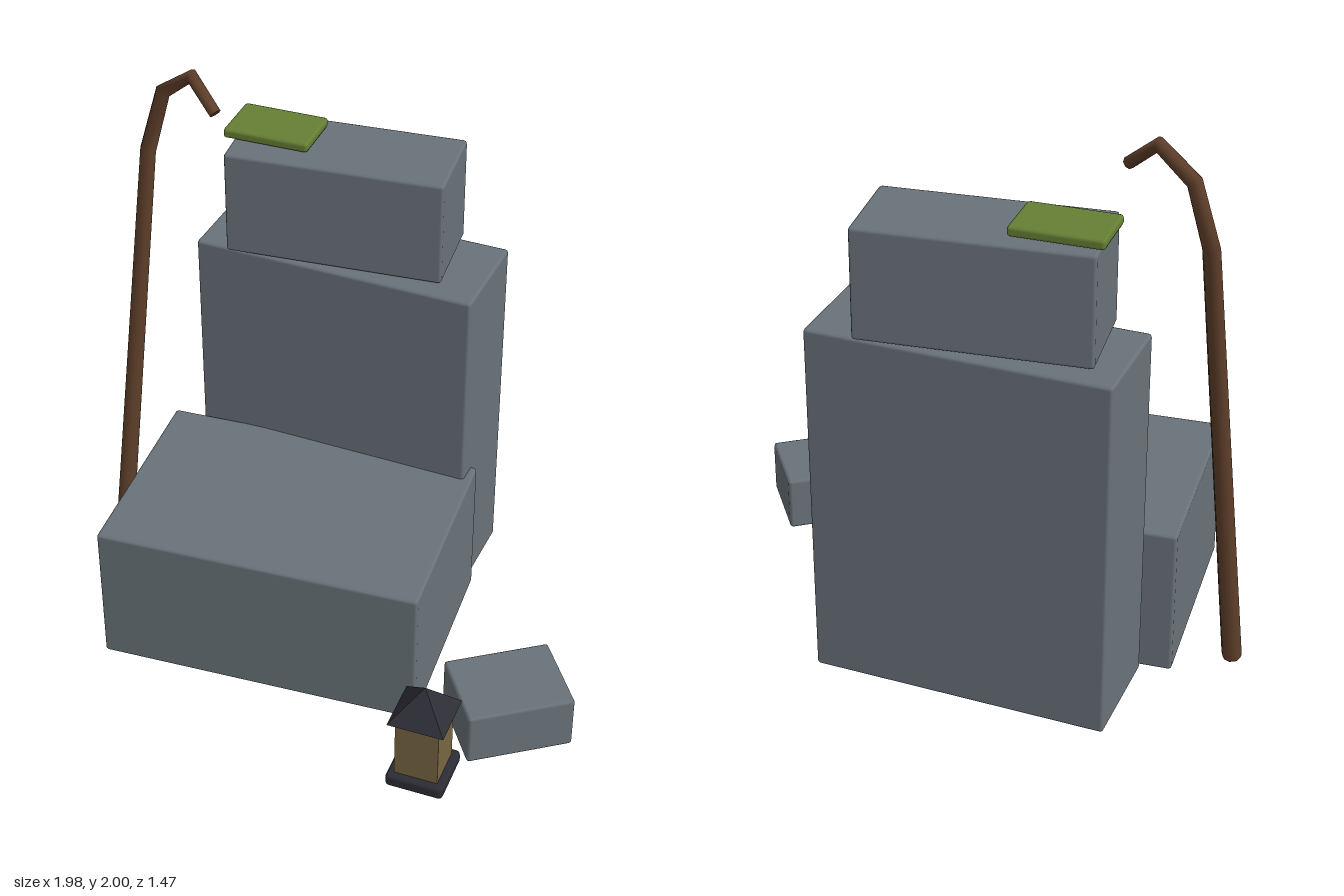
import * as THREE from 'three';
import { RoundedBoxGeometry } from 'three/addons/geometries/RoundedBoxGeometry.js';

const mat = (name, color) => {
  const m = new THREE.MeshStandardMaterial({ color });
  m.name = name;
  return m;
};

// Tapered tube along points [x, y, z, radius], with flat end caps
function taperedTube(points, sides = 8) {
  const centres = points.map(([x, y, z]) => new THREE.Vector3(x, y, z));
  const last = points.length - 1;
  const position = [], index = [];
  const rings = points.map((p, i) => {
    const c = centres[i];
    const t = new THREE.Vector3();
    if (i > 0) t.add(c.clone().sub(centres[i - 1]).normalize());
    if (i < last) t.add(centres[i + 1].clone().sub(c).normalize());
    t.normalize();
    const u = new THREE.Vector3().crossVectors(t, new THREE.Vector3(0, 0, 1)).normalize();
    const v = new THREE.Vector3().crossVectors(t, u);
    return Array.from({ length: sides }, (_, k) => {
      const a = (k / sides) * Math.PI * 2;
      return c.clone().addScaledVector(u, Math.cos(a) * p[3]).addScaledVector(v, Math.sin(a) * p[3]);
    });
  });
  const push = (v) => position.push(v.x, v.y, v.z) / 3 - 1;
  rings.forEach((ring) => ring.forEach(push));
  for (let i = 0; i < last; i++) {
    for (let k = 0; k < sides; k++) {
      const a = i * sides + k, b = i * sides + (k + 1) % sides;
      index.push(a, b, b + sides, a, b + sides, a + sides);
    }
  }
  // caps have their own vertices so the rims stay sharp
  for (const i of [0, last]) {
    const centre = push(centres[i]);
    const rim = rings[i].map(push);
    rim.forEach((a, k) => {
      const b = rim[(k + 1) % sides];
      if (i === 0) index.push(centre, b, a);
      else index.push(centre, a, b);
    });
  }
  const g = new THREE.BufferGeometry();
  g.setAttribute('position', new THREE.Float32BufferAttribute(position, 3));
  g.setIndex(index);
  g.computeVertexNormals();
  return g;
}

export function createModel() {
  const model = new THREE.Group();
  model.name = 'stoneSeat';
  const stone = mat('stone', 0x6a737a);
  const moss = mat('moss', 0x668034);
  const wood = mat('wood', 0x5f3f2a);
  const iron = mat('iron', 0x2d2d36);
  const glass = mat('amberGlass', 0x786642);

  // Bevelled block standing on y0, turned about y
  const block = (name, material, [w, h, d], [x, y0, z], turn = 0, bevel = 0.012, parent = model) => {
    const m = new THREE.Mesh(new RoundedBoxGeometry(w, h, d, 1, bevel), material);
    m.name = name;
    m.position.set(x, y0 + h / 2, z);
    m.rotation.y = turn;
    parent.add(m);
  };

  // Stacked stones
  block('seat', stone, [1.177, 0.545, 0.785], [-0.172, 0.012, 0.034], 0.055);
  block('backrest', stone, [1.045, 1.308, 0.391], [-0.145, 0.012, -0.518], -0.042);
  block('headStone', stone, [0.785, 0.39, 0.34], [-0.17, 1.325, -0.516], 0.08);
  block('sideStone', stone, [0.384, 0.205, 0.305], [0.747, 0.012, 0.295], 0.61);
  block('mossPatch', moss, [0.315, 0.036, 0.21], [-0.433, 1.719, -0.52]);

  // Walking staff with a bent hook
  const staff = new THREE.Mesh(taperedTube([
    [-0.957, 0.005, -0.165, 0.031], [-0.956, 0.02, -0.167, 0.036],
    [-0.853, 1.65, -0.357, 0.03], [-0.797, 1.877, -0.385, 0.028],
    [-0.673, 1.973, -0.358, 0.025], [-0.566, 1.875, -0.307, 0.021],
  ]), wood);
  staff.name = 'staff';
  model.add(staff);

  // Lantern
  const lantern = new THREE.Group();
  lantern.name = 'lantern';
  lantern.position.set(0.55, 0, 0.627);
  block('lanternBase', iron, [0.208, 0.05, 0.208], [0, 0.012, 0], 0, 0.015, lantern);
  const body = new THREE.Mesh(new THREE.BoxGeometry(0.155, 0.24, 0.155), glass);
  body.name = 'lanternGlass';
  body.position.y = 0.18;
  const roofGeometry = new THREE.ConeGeometry(0.1 * Math.SQRT2, 0.115, 4).rotateY(Math.PI / 4).toNonIndexed();
  roofGeometry.computeVertexNormals();
  const roof = new THREE.Mesh(roofGeometry, iron);
  roof.name = 'lanternRoof';
  roof.position.y = 0.355;
  lantern.add(body, roof);
  model.add(lantern);

  return model;
}
